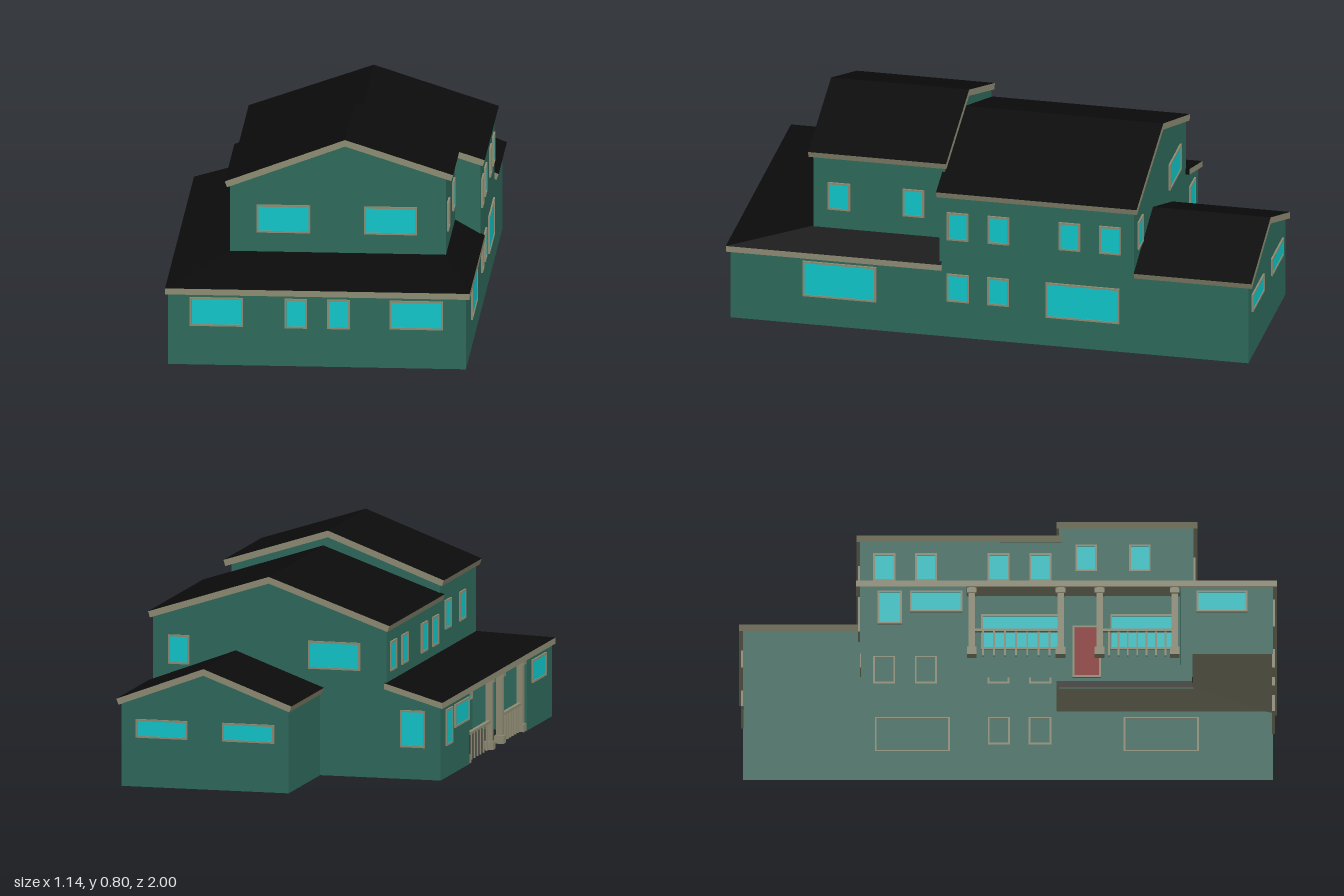
import * as THREE from 'three';

const mat = (color) => new THREE.MeshStandardMaterial({ color, side: THREE.DoubleSide });

export function createModel() {
  const wallMat = mat(0x2f6a5c), trimMat = mat(0x8f8d74), roofMat = mat(0x0b0b0b);
  const glassMat = mat(0x10c8cc), doorMat = mat(0x8a1c14);
  const house = new THREE.Group();
  house.name = 'house';

  function add(parent, name, geometry, material, x = 0, y = 0, z = 0) {
    const mesh = new THREE.Mesh(geometry, material);
    mesh.name = name;
    mesh.position.set(x, y, z);
    parent.add(mesh);
    return mesh;
  }

  // ---- Walls: thin sheets, outline given as [across, y] ----
  const outline = (pts) => new THREE.Shape(pts.map(([a, b]) => new THREE.Vector2(a, b)));
  const rect = (a0, a1, y0, y1) => [[a0, y0], [a1, y0], [a1, y1], [a0, y1]];
  const wallZ = (name, z, pts) =>
    add(house, name, new THREE.ShapeGeometry(outline(pts)), wallMat, 0, 0, z);
  function wallX(name, x, z0, z1, y0, y1) {
    const wall = add(house, name, new THREE.ShapeGeometry(outline(rect(-z1, -z0, y0, y1))), wallMat, x);
    wall.rotation.y = Math.PI / 2;
  }

  // Ground floor
  wallZ('frontWall', 0.985, rect(-0.56, 0.55, 0, 0.28));
  wallX('frontRightWall', 0.55, 0.19, 0.985, 0, 0.28);
  wallX('frontLeftWall', -0.56, 0.64, 0.985, 0, 0.28);
  wallX('porchWall', -0.35, -0.155, 0.64, 0, 0.35);
  wallX('backRoomSideWall', -0.56, -0.55, -0.155, 0, 0.28);
  for (const z of [0.64, -0.155, -0.55])
    wallZ('porchEndWall', z, [[-0.56, 0], [-0.35, 0], [-0.35, 0.335], [-0.56, 0.275]]);
  // Main two-storey block
  wallX('mainRightWall', 0.55, -0.55, 0.19, 0, 0.575);
  wallX('mainLeftWall', -0.35, -0.55, 0.19, 0.33, 0.56);
  wallZ('mainBackWall', -0.55, [[-0.35, 0], [0.55, 0], [0.55, 0.572], [0.1, 0.715], [-0.35, 0.557]]);
  wallZ('mainFrontWall', 0.19, [[0.455, 0.27], [0.55, 0.27], [0.55, 0.572], [0.455, 0.6]]);
  // Front upper storey
  wallZ('upperFrontWall', 0.69, [[-0.35, 0.33], [0.455, 0.33], [0.455, 0.653], [0.08, 0.772], [-0.35, 0.612]]);
  wallZ('upperBackGable', 0.19,
    [[-0.35, 0.55], [0.1, 0.7], [0.455, 0.58], [0.455, 0.653], [0.08, 0.772], [-0.35, 0.612]]);
  wallX('upperRightWall', 0.455, 0.19, 0.69, 0.33, 0.653);
  wallX('upperLeftWall', -0.35, 0.19, 0.69, 0.33, 0.612);
  // Back annex
  wallX('annexRightWall', 0.55, -0.985, -0.55, 0, 0.31);
  wallX('annexLeftWall', -0.095, -0.985, -0.55, 0, 0.31);
  wallZ('annexBackWall', -0.985, [[-0.095, 0], [0.55, 0], [0.55, 0.31], [0.23, 0.43], [-0.095, 0.31]]);

  // ---- Roofs: slabs with a dark top and trim on edges and underside ----
  function sheet(parent, name, a, b, material) {
    const pos = [];
    for (let i = 0; i < a.length - 1; i++)
      pos.push(...a[i], ...a[i + 1], ...b[i + 1], ...a[i], ...b[i + 1], ...b[i]);
    const g = new THREE.BufferGeometry();
    g.setAttribute('position', new THREE.Float32BufferAttribute(pos, 3));
    g.computeVertexNormals();
    add(parent, name, g, material);
  }
  function slab(name, outer, inner, outerLow, innerLow, innerMat = trimMat) {
    const g = new THREE.Group();
    g.name = name;
    house.add(g);
    sheet(g, 'shingles', outer, inner, roofMat);
    sheet(g, 'soffit', innerLow, outerLow, trimMat);
    sheet(g, 'fascia', outerLow, outer, trimMat);
    sheet(g, 'innerEdge', inner, innerLow, innerMat);
    for (const i of [0, outer.length - 1])
      sheet(g, 'endBoard', [outer[i], inner[i]], [outerLow[i], innerLow[i]], trimMat);
  }
  // Gable roof from left eave, ridge and right eave, cut square to each slope
  function gableRoof(name, left, ridge, right, z0, z1, t = 0.024) {
    const low = ([x, y]) => {
      const dx = ridge[0] - x, dy = ridge[1] - y, l = Math.hypot(dx, dy);
      return [x + (Math.sign(dx) * dy * t) / l, y - (Math.abs(dx) * t) / l];
    };
    const top = [left, ridge, right];
    const bottom = [low(left), [ridge[0], ridge[1] - t * 1.05], low(right)];
    const at = (pts, z) => pts.map(([x, y]) => [x, y, z]);
    slab(name, at(top, z1), at(top, z0), at(bottom, z1), at(bottom, z0));
  }
  gableRoof('upperFrontRoof', [-0.368, 0.63], [0.08, 0.798], [0.483, 0.67], 0.18, 0.705);
  gableRoof('mainRoof', [-0.366, 0.575], [0.1, 0.74], [0.566, 0.59], -0.563, 0.2);
  gableRoof('annexRoof', [-0.11, 0.33], [0.23, 0.456], [0.566, 0.33], -1, -0.552);

  // Lean-to roof wrapping the left side, front and right side
  const ring = (pts, y) => pts.map(([x, z]) => [x, y, z]);
  const eave = [[-0.57, -0.565], [-0.57, 1], [0.565, 1], [0.565, 0.18]];
  const head = [[-0.345, -0.565], [-0.345, 0.685], [0.45, 0.685], [0.45, 0.18]];
  slab('wrapRoof', ring(eave, 0.295), ring(head, 0.36), ring(eave, 0.272), ring(head, 0.337), roofMat);

  // ---- Windows and door: framed panel facing +z, turned to its wall ----
  const turn = { front: 0, right: Math.PI / 2, back: Math.PI, left: -Math.PI / 2 };
  function opening(name, side, plane, a0, a1, y0, y1, material = glassMat) {
    const g = new THREE.Group(), w = a1 - a0, h = y1 - y0, f = 0.007;
    g.name = name;
    const frame = outline(rect(-w / 2, w / 2, -h / 2, h / 2));
    frame.holes.push(new THREE.Path(
      rect(-w / 2 + f, w / 2 - f, -h / 2 + f, h / 2 - f).map(([a, b]) => new THREE.Vector2(a, b))));
    add(g, 'frame', new THREE.ExtrudeGeometry(frame, { depth: 0.01, bevelEnabled: false }), trimMat, 0, 0, -0.003);
    add(g, 'panel', new THREE.BoxGeometry(w - f, h - f, 0.003), material, 0, 0, 0.002);
    const mid = (a0 + a1) / 2, y = (y0 + y1) / 2;
    if (side === 'front' || side === 'back') g.position.set(mid, y, plane);
    else g.position.set(plane, y, mid);
    g.rotation.y = turn[side];
    house.add(g);
  }
  const windows = [
    // front
    ['front', 0.69, -0.25, -0.05, 0.433, 0.54], ['front', 0.69, 0.15, 0.348, 0.433, 0.54],
    ['front', 0.985, -0.48, -0.28, 0.15, 0.26], ['front', 0.985, 0.266, 0.465, 0.15, 0.26],
    ['front', 0.985, -0.126, -0.042, 0.147, 0.26], ['front', 0.985, 0.033, 0.118, 0.147, 0.26],
    // right
    ['right', 0.455, 0.55, 0.635, 0.433, 0.543], ['right', 0.455, 0.268, 0.35, 0.433, 0.543],
    ['right', 0.55, 0.43, 0.71, 0.115, 0.257], ['right', 0.55, -0.495, -0.215, 0.115, 0.257],
    ['right', 0.55, 0.077, 0.162, 0.145, 0.257], ['right', 0.55, -0.075, 0.008, 0.145, 0.257],
    // back
    ['back', -0.55, -0.25, -0.05, 0.4, 0.505], ['back', -0.55, 0.41, 0.49, 0.395, 0.505],
    ['back', -0.55, -0.5, -0.405, 0.12, 0.26],
    ['back', -0.985, -0.04, 0.16, 0.185, 0.255], ['back', -0.985, 0.295, 0.495, 0.185, 0.255],
    // left
    ['left', -0.35, 0.45, 0.53, 0.433, 0.543], ['left', -0.35, 0.25, 0.33, 0.433, 0.543],
    ['left', -0.56, 0.7, 0.89, 0.17, 0.257], ['left', -0.56, -0.485, -0.395, 0.12, 0.257],
    ['left', -0.56, -0.365, -0.17, 0.17, 0.257],
    ['left', -0.35, 0.38, 0.62, 0.115, 0.257], ['left', -0.35, -0.1, 0.2, 0.115, 0.257],
  ];
  for (const z of [-0.46, -0.305, -0.035, 0.12]) {
    windows.push(['right', 0.55, z - 0.041, z + 0.041, 0.395, 0.507]);
    windows.push(['left', -0.35, z - 0.041, z + 0.041, 0.395, 0.507]);
  }
  windows.forEach((w) => opening('window', ...w));
  opening('door', 'left', -0.35, 0.24, 0.345, 0, 0.21, doorMat);

  // ---- Porch posts and railings ----
  const porch = new THREE.Group();
  porch.name = 'porch';
  house.add(porch);
  const px = -0.54;
  for (const z of [-0.135, 0.195, 0.34, 0.62]) {
    add(porch, 'post', new THREE.BoxGeometry(0.024, 0.28, 0.024), trimMat, px, 0.14, z);
    add(porch, 'postBase', new THREE.BoxGeometry(0.036, 0.03, 0.036), trimMat, px, 0.015, z);
    add(porch, 'postCap', new THREE.BoxGeometry(0.036, 0.02, 0.036), trimMat, px, 0.262, z);
  }
  for (const [z0, z1] of [[-0.135, 0.195], [0.34, 0.62]]) {
    add(porch, 'handrail', new THREE.BoxGeometry(0.014, 0.01, z1 - z0), trimMat, px, 0.105, (z0 + z1) / 2);
    for (let i = 1; i < 8; i++)
      add(porch, 'baluster', new THREE.BoxGeometry(0.007, 0.1, 0.007), trimMat, px, 0.05, z0 + ((z1 - z0) * i) / 8);
  }
  return house;
}
